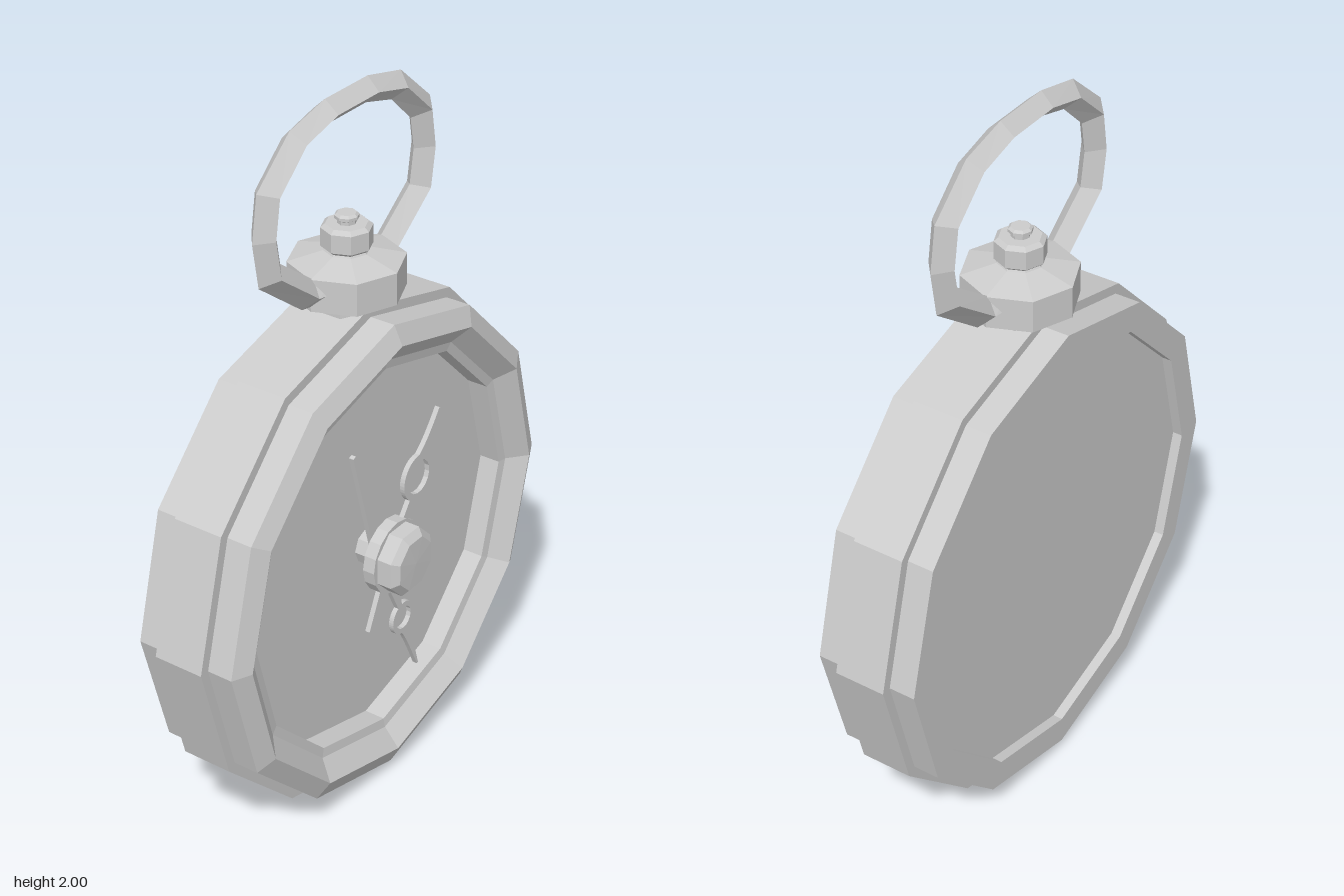
import * as THREE from 'three';

const mat = new THREE.MeshStandardMaterial({ color: 0xcccccc, flatShading: true });
const CY = 0.715;   // height of the case centre
const CZ = -0.035;  // depth of the crown and bow

function add(parent, geo, name) {
  const mesh = new THREE.Mesh(geo, mat);
  mesh.name = name;
  parent.add(mesh);
  return mesh;
}

// Faceted turned part; profile is [radius, height] from bottom to top
function turned(profile, sides, turn = 0) {
  return new THREE.LatheGeometry(profile.map(p => new THREE.Vector2(p[0], p[1])), sides, turn);
}

// Same, with its axis along z
const turnedZ = (profile, sides, turn) => turned(profile, sides, turn).rotateX(Math.PI / 2);

// Flat hand pointing along +y: tapered stem, eye with a hole, spear tip and plain tail
function handGeometry({ stem, eye, eyeR, holeR, tip, tail, tailBase, tailEnd }) {
  const s = new THREE.Shape();
  const half = Math.asin(stem / eyeR), spear = 0.5;
  s.moveTo(-tailEnd, -tail);
  s.lineTo(tailEnd, -tail);
  s.lineTo(tailBase, 0);
  s.lineTo(stem, eye - eyeR * Math.cos(half));
  s.absarc(0, eye, eyeR, -Math.PI / 2 + half, Math.PI / 2 - spear, false);
  s.quadraticCurveTo(0.012, eye + eyeR * 1.5, 0.003, tip);
  s.lineTo(-0.003, tip);
  s.quadraticCurveTo(-0.012, eye + eyeR * 1.5, -eyeR * Math.sin(spear), eye + eyeR * Math.cos(spear));
  s.absarc(0, eye, eyeR, Math.PI / 2 + spear, Math.PI * 1.5 - half, false);
  s.lineTo(-tailBase, 0);
  s.closePath();
  const hole = new THREE.Path();
  hole.absarc(0, eye, holeR, 0, Math.PI * 2, true);
  s.holes.push(hole);
  return new THREE.ExtrudeGeometry(s, { depth: 0.014, bevelEnabled: false, curveSegments: 8 });
}

// Bow: a diamond section swept through pairs of outer and inner points
function bowGeometry() {
  const right = [ // outer x, y, inner x, y
    [0.06, 1.455, 0.03, 1.53],
    [0.188, 1.478, 0.14, 1.542],
    [0.357, 1.608, 0.272, 1.64],
    [0.378, 1.732, 0.288, 1.733],
    [0.358, 1.855, 0.273, 1.822],
    [0.228, 1.967, 0.188, 1.902],
    [0.087, 2.0, 0.08, 1.932],
  ];
  const left = right.map(([a, b, c, d]) => [-a, b, -c, d]).reverse();
  const rings = [...right, ...left];
  const pos = [], idx = [];
  for (const [ox, oy, ix, iy] of rings) {
    const mx = (ox + ix) / 2, my = (oy + iy) / 2;
    pos.push(ox, oy, 0, mx, my, 0.037, ix, iy, 0, mx, my, -0.037);
  }
  const n = rings.length;
  for (let i = 0; i < n; i++) {
    const a = i * 4, b = ((i + 1) % n) * 4;
    for (let j = 0; j < 4; j++) {
      const k = (j + 1) % 4;
      idx.push(a + j, b + j, b + k, a + j, b + k, a + k);
    }
  }
  const g = new THREE.BufferGeometry();
  g.setAttribute('position', new THREE.Float32BufferAttribute(pos, 3));
  g.setIndex(idx);
  g.computeVertexNormals();
  return g;
}

export function createModel() {
  const model = new THREE.Group();
  model.name = 'pocketWatch';

  // Twelve-sided case: back recess, raised middle band, bezel and sunk dial
  const body = new THREE.Group();
  body.name = 'body';
  body.position.y = CY;
  model.add(body);
  add(body, turnedZ([
    [0, -0.15], [0.605, -0.15], [0.605, -0.178], [0.685, -0.178],
    [0.685, -0.105], [0.713, -0.105], [0.713, 0.038], [0.685, 0.038],
    [0.685, 0.11], [0.632, 0.135], [0.578, 0.09], [0.552, 0.085], [0.552, 0.025],
  ], 12), 'case');
  add(body, turnedZ([[0.552, 0.025], [0, 0.025]], 12), 'dial');

  // Hands
  const hour = add(body, handGeometry({
    stem: 0.01, eye: 0.217, eyeR: 0.067, holeR: 0.048, tip: 0.408,
    tail: 0.215, tailBase: 0.028, tailEnd: 0.012,
  }), 'hourHand');
  hour.position.z = 0.105;
  hour.rotation.z = -0.51;
  const minute = add(body, handGeometry({
    stem: 0.009, eye: 0.289, eyeR: 0.049, holeR: 0.034, tip: 0.495,
    tail: 0.372, tailBase: 0.034, tailEnd: 0.006,
  }), 'minuteHand');
  minute.position.z = 0.066;
  minute.rotation.z = Math.PI + 0.35;

  // Arbor, hub and centre pin
  add(body, turnedZ([[0.05, 0.025], [0.05, 0.095]], 8), 'arbor');
  add(body, turnedZ([[0, 0.09], [0.105, 0.09], [0.105, 0.125], [0, 0.125]], 16), 'hub');
  add(body, turnedZ([[0.097, 0.12], [0.097, 0.167], [0.076, 0.184], [0, 0.186]],
    8, Math.PI / 8), 'centrePin');

  // Neck, crown and button
  const winder = new THREE.Group();
  winder.name = 'winder';
  winder.position.z = CZ;
  model.add(winder);
  add(winder, turned([[0, 1.38], [0.074, 1.38], [0.074, 1.45], [0, 1.45]], 8, Math.PI / 8), 'neck');
  add(winder, turned([
    [0, 1.437], [0.09, 1.437], [0.152, 1.458], [0.152, 1.546], [0.06, 1.57], [0.05, 1.585], [0, 1.585],
  ], 8), 'crown');
  add(winder, turned([
    [0, 1.573], [0.055, 1.573], [0.067, 1.583], [0.067, 1.633], [0.055, 1.643], [0.025, 1.643],
    [0.025, 1.652], [0.032, 1.656], [0.032, 1.664], [0.025, 1.67], [0, 1.67],
  ], 8), 'button');

  // Hanging bow
  add(model, bowGeometry(), 'bow').position.z = CZ;

  return model;
}
